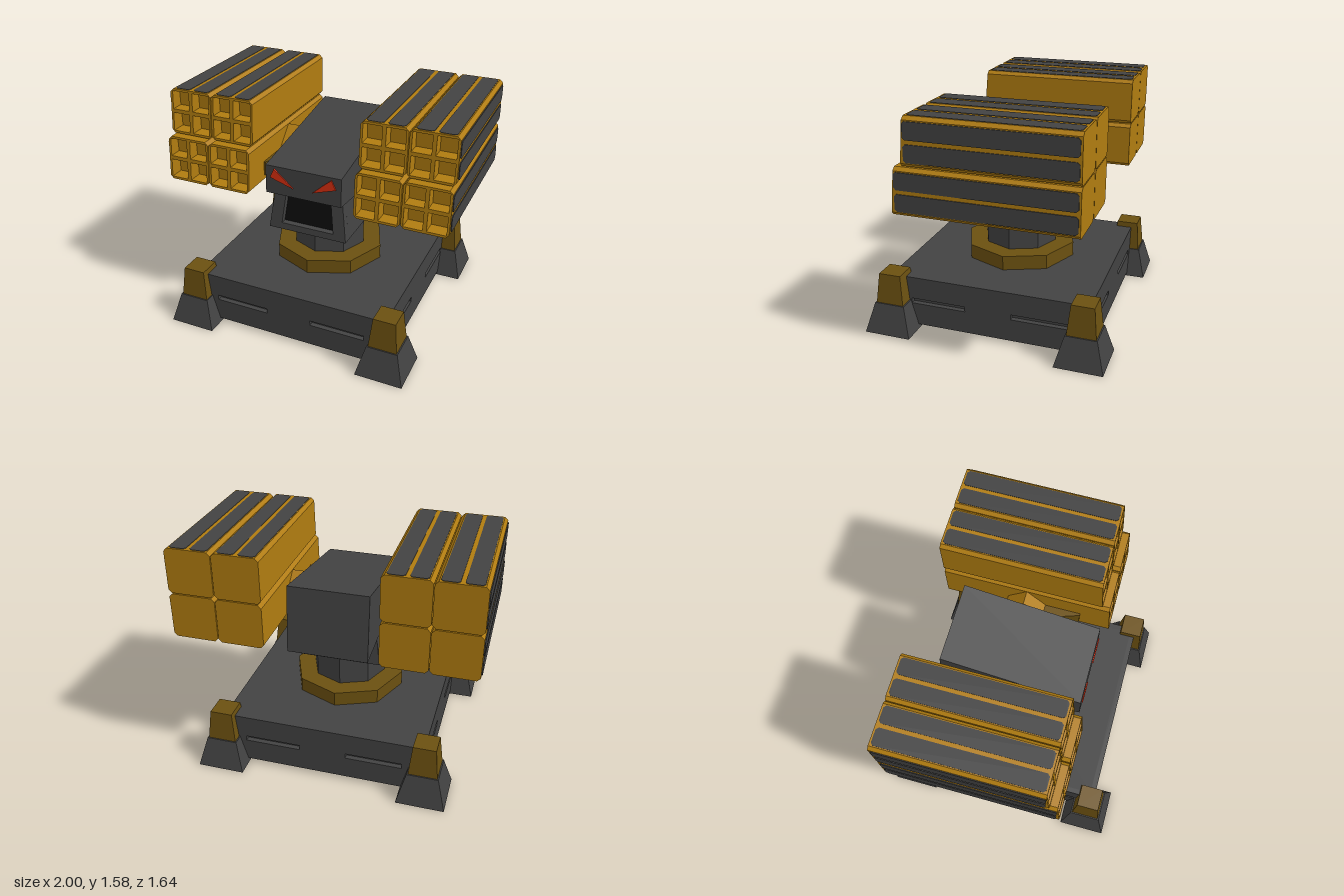
import * as THREE from 'three';

const mat = (name, color) => { const m = new THREE.MeshStandardMaterial({ color }); m.name = name; return m; };

export function createModel() {
  const gray = mat('charcoal', 0x424242);
  const gold = mat('gold', 0xb07c10);
  const bronze = mat('bronze', 0x6b5010);
  const red = mat('red', 0xe03010);
  const black = mat('black', 0x0d0d0d);
  const model = new THREE.Group();

  const add = (parent, name, geo, material, x = 0, y = 0, z = 0) => {
    const mesh = new THREE.Mesh(geo, material);
    mesh.name = name;
    mesh.position.set(x, y, z);
    parent.add(mesh);
    return mesh;
  };
  const flat = (g) => { const n = g.index ? g.toNonIndexed() : g; n.computeVertexNormals(); return n; };
  const poly = (pts, Type = THREE.Shape) => new Type(pts.map(([x, y]) => new THREE.Vector2(x, y)));
  const rect = (x, y, w, h) => [[x - w / 2, y - h / 2], [x + w / 2, y - h / 2], [x + w / 2, y + h / 2], [x - w / 2, y + h / 2]];
  const chamfered = (w, h, c) => {
    const a = w / 2, b = h / 2;
    return poly([[-a + c, -b], [a - c, -b], [a, -b + c], [a, b - c], [a - c, b], [-a + c, b], [-a, b - c], [-a, -b + c]]);
  };
  const extrude = (shape, depth) => new THREE.ExtrudeGeometry(shape, { depth, bevelEnabled: false, curveSegments: 1 });
  // Moves every vertex by a rule
  const warp = (g, rule) => {
    const p = g.attributes.position, v = new THREE.Vector3();
    for (let i = 0; i < p.count; i++) { v.fromBufferAttribute(p, i); rule(v); p.setXYZ(i, v.x, v.y, v.z); }
    return flat(g);
  };
  // Square block with half-widths at bottom and top
  const frustum = (bottom, top, h) => {
    const g = new THREE.CylinderGeometry(top * Math.SQRT2, bottom * Math.SQRT2, h, 4);
    return flat(g.rotateY(Math.PI / 4).translate(0, h / 2, 0));
  };

  // Base with slotted side walls
  const base = new THREE.Group();
  base.name = 'base';
  model.add(base);
  add(base, 'baseCore', new THREE.BoxGeometry(1.31, 0.35, 1.31), gray, 0, 0.2, 0);
  for (let k = 0; k < 4; k++) {
    const wall = poly(rect(0, 0.2, 1.38, 0.35));
    for (const s of [-1, 1]) wall.holes.push(poly(rect(s * 0.353, 0.2, 0.385, 0.036), THREE.Path));
    const geo = extrude(wall, 0.04).translate(0, 0, 0.65);
    add(base, 'slottedWall', geo, gray).rotation.y = k * Math.PI / 2;
  }

  // Corner feet
  for (const sx of [-1, 1]) for (const sz of [-1, 1]) {
    add(model, 'footPad', frustum(0.161, 0.105, 0.205), gray, sx * 0.697, 0, sz * 0.659);
    add(model, 'footPost', frustum(0.097, 0.076, 0.207), bronze, sx * 0.697, 0.205, sz * 0.659);
  }

  // Turntable and neck
  add(model, 'turntable', flat(new THREE.CylinderGeometry(0.39, 0.39, 0.1, 8)), bronze, 0, 0.425, 0);
  add(model, 'neck', flat(new THREE.CylinderGeometry(0.26, 0.26, 0.24, 8)), gray, 0, 0.58, 0);

  // Jaw: tapered block with a framed, recessed mouth
  const jaw = warp(new THREE.BoxGeometry(1, 0.3, 1).translate(0, 0.83, 0), (v) => {
    const t = (v.y - 0.68) / 0.3;
    v.x *= 0.566 - 0.08 * t;
    v.z = v.z > 0 ? 0.335 - 0.034 * t : -0.27 + 0.033 * t;
  });
  add(model, 'jaw', jaw, gray);
  const lean = (v) => { v.z -= (v.y - 0.68) * 0.113; };
  const mouthPts = [[-0.19, 0.725], [0.19, 0.725], [0.165, 0.935], [-0.165, 0.935]];
  const frame = poly([[-0.283, 0.68], [0.283, 0.68], [0.243, 0.98], [-0.243, 0.98]]);
  frame.holes.push(poly(mouthPts, THREE.Path));
  add(model, 'mouthFrame', warp(extrude(frame, 0.05).translate(0, 0, 0.335), lean), gray);
  add(model, 'mouth', warp(extrude(poly(mouthPts), 0.006).translate(0, 0, 0.335), lean), black);

  // Head: wedge profile in (z, y), extruded across x
  const head = extrude(poly([[-0.545, 0.866], [0.435, 0.972], [0.43, 1.17], [-0.505, 1.322]]), 0.54);
  add(model, 'head', head.rotateY(-Math.PI / 2).translate(0.27, 0, 0), gray);
  for (const s of [-1, 1]) {
    const eye = poly([[-0.235, 1.09], [-0.07, 1.037], [-0.145, 1.105], [-0.205, 1.155]].map(([x, y]) => [-s * x, y]));
    add(model, 'eye', extrude(eye, 0.008), red, 0, 0, 0.433);
  }

  // Axle carrying both launchers
  const axle = flat(new THREE.CylinderGeometry(0.132, 0.132, 0.78, 4).rotateZ(Math.PI / 2));
  add(model, 'axle', axle, gold, 0, 1.105, -0.107);

  // Launcher block: chamfered body and a sloped front with four tube openings
  const W = 0.308, BACK = -0.685, CELL = 0.125;
  const launcherBlock = (parent, x, y, front) => {
    const depth = 0.1, body = front - depth - BACK;
    add(parent, 'launcherBody', extrude(chamfered(W, W, 0.022), body), gold, x, y, BACK);
    const face = chamfered(W, W, 0.022);
    for (const i of [-1, 1]) for (const j of [-1, 1])
      face.holes.push(poly(rect(i * 0.0755, j * 0.0755, CELL, CELL), THREE.Path));
    const muzzle = warp(extrude(face, depth), (v) => { if (v.z > 0.05) v.z -= (v.y + W / 2) * 0.08; });
    add(parent, 'launcherMuzzle', muzzle, gold, x, y, front - depth);
  };

  for (const s of [-1, 1]) {
    const pod = new THREE.Group();
    pod.name = s > 0 ? 'leftLauncher' : 'rightLauncher';
    model.add(pod);
    const cols = [0.527, 0.84], rows = [{ y: 1.104, front: 0.485 }, { y: 1.419, front: 0.41 }];
    for (const { y, front } of rows) {
      for (const x of cols) launcherBlock(pod, s * x, y, front);
      // Outer side plates
      const len = front - 0.025 - (BACK + 0.012), mid = (front - 0.025 + BACK + 0.012) / 2;
      for (const j of [-1, 1]) {
        const plate = extrude(chamfered(len, 0.112, 0.015), 0.008).rotateY(s * Math.PI / 2);
        add(pod, 'sidePlate', plate, gray, s * 0.992, y + j * 0.069, mid);
      }
    }
    // Top plates
    for (const x of cols) for (const i of [-1, 1]) {
      const plate = extrude(chamfered(0.112, 1.045, 0.015), 0.006).rotateX(-Math.PI / 2);
      add(pod, 'topPlate', plate, gray, s * (x + i * 0.069), 1.57, -0.15);
    }
    // Gusset between axle and launcher
    const gusset = extrude(poly([[0.27, 0.1], [0.38, 0.1], [0.38, -0.27], [0.36, -0.27], [0.275, -0.02]].map(([x, y]) => [s * x, y])), 0.1);
    add(pod, 'gusset', gusset.rotateX(-Math.PI / 2), bronze, 0, 1.0, 0);
  }
  return model;
}
